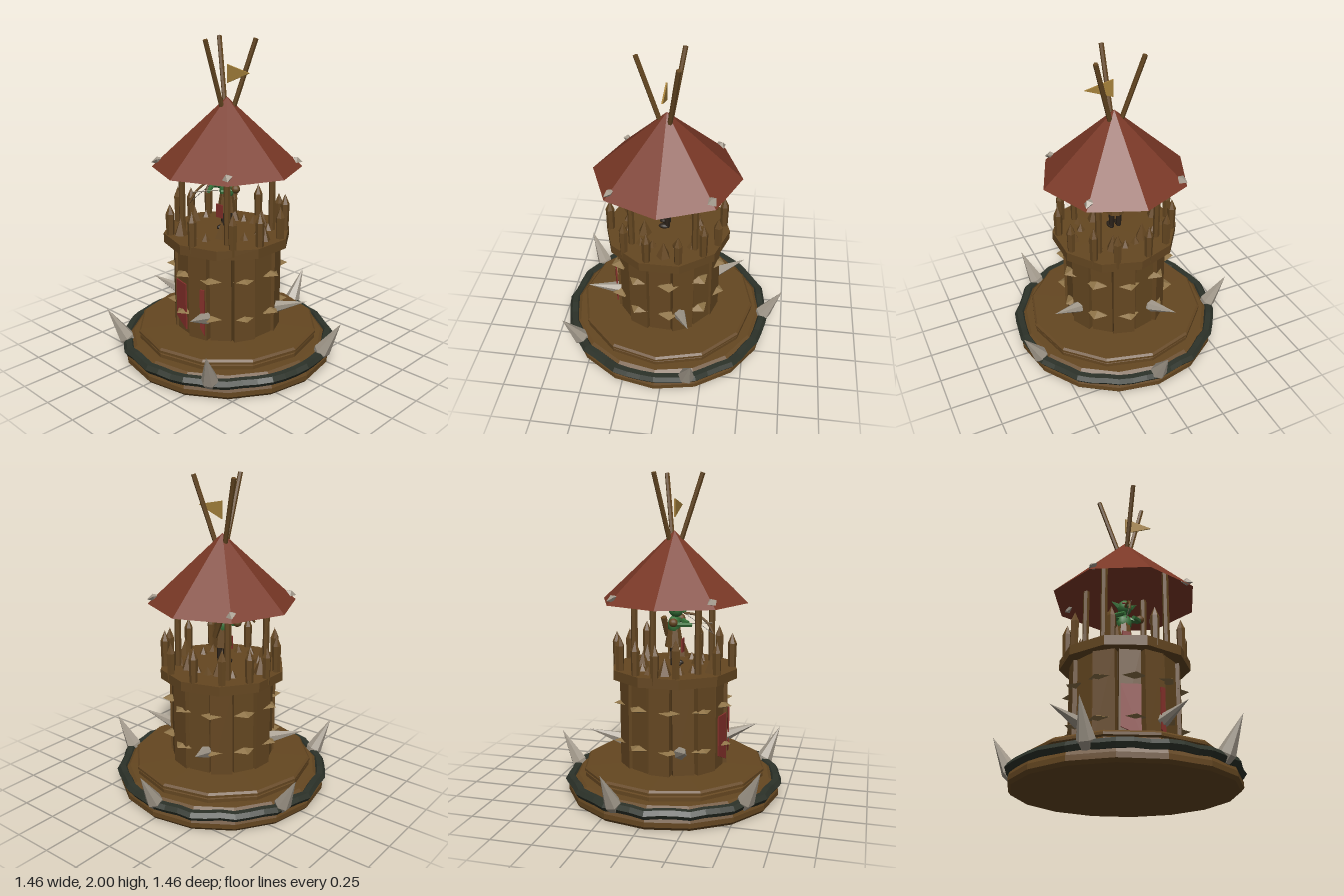
import * as THREE from 'three';

const mat = (name, color, side = THREE.FrontSide) => {
  const m = new THREE.MeshStandardMaterial({ color, side });
  m.name = name;
  return m;
};
const V = (x, y, z) => new THREE.Vector3(x, y, z);
const UP = V(0, 1, 0);
const rad = THREE.MathUtils.degToRad;
// point at azimuth a (degrees from the front), radius r, height y
const polar = (a, r, y) => V(Math.sin(rad(a)) * r, y, Math.cos(rad(a)) * r);

export function createModel() {
  const wood = mat('wood', 0x654721);
  const darkWood = mat('dark wood', 0x4a341a);
  const roofRed = mat('roof hide', 0x7a3826, THREE.DoubleSide);
  const cloth = mat('red cloth', 0x84302a);
  const metal = mat('spike metal', 0xa59c8e);
  const tan = mat('pale wood', 0x8f7448);
  const gold = mat('flag cloth', 0xa8833c, THREE.DoubleSide);
  const green = mat('green skin', 0x38743a);
  const dark = mat('dark moss', 0x2c3229);
  const leather = mat('dark leather', 0x2b2219);

  const root = new THREE.Group();
  root.name = 'watchtower';
  const tower = new THREE.Group();
  tower.name = 'tower';
  tower.position.z = 0.037;
  root.add(tower);

  let seed = 7;
  const rnd = () => (seed = (seed * 16807) % 2147483647) / 2147483647;

  const flat = (g) => {
    const f = g.index ? g.toNonIndexed() : g;
    f.computeVertexNormals();
    return f;
  };
  const add = (name, geo, material, pos = V(0, 0, 0), parent = tower, smooth = false) => {
    const m = new THREE.Mesh(smooth ? geo : flat(geo), material);
    m.name = name;
    m.position.copy(pos);
    parent.add(m);
    return m;
  };
  const lathe = (pts, n) => new THREE.LatheGeometry(pts.map((p) => new THREE.Vector2(...p)), n);
  // tapered rod between two points
  const rod = (name, a, b, r0, r1, material, n = 6) => {
    const d = b.clone().sub(a);
    const m = add(name, new THREE.CylinderGeometry(r1, r0, d.length(), n), material, a.clone().add(b).multiplyScalar(0.5));
    m.quaternion.setFromUnitVectors(UP, d.normalize());
    return m;
  };
  // faceted spike with a short blunt root
  const spike = (name, a, b, r) => {
    const d = b.clone().sub(a), L = d.length();
    const m = add(name, lathe([[0, -0.02], [r * 0.7, -0.01], [r, L * 0.14], [0, L]], 6), metal, a);
    m.quaternion.setFromUnitVectors(UP, d.normalize());
  };

  // stepped round base
  add('lowerBase', lathe([[0, 0], [0.655, 0], [0.672, 0.02], [0.672, 0.05], [0.655, 0.09], [0.61, 0.128], [0, 0.132]], 16), wood);
  add('upperBase', lathe([[0.55, 0.125], [0.572, 0.135], [0.572, 0.158], [0.56, 0.163], [0.578, 0.17], [0.578, 0.185], [0.565, 0.197], [0, 0.199]], 12), wood);

  // uneven mossy band around the base
  const band = new THREE.TorusGeometry(0.655, 0.036, 6, 48).rotateX(Math.PI / 2);
  const bp = band.attributes.position;
  for (let i = 0; i < bp.count; i++) {
    const x = bp.getX(i), z = bp.getZ(i), a = Math.atan2(x, z);
    const facet = Math.cos(Math.PI / 16) / Math.cos(((a + 20 * Math.PI) % (Math.PI / 8)) - Math.PI / 16);
    const k = facet * (1 + 0.006 * Math.sin(11 * a));
    bp.setXYZ(i, x * k, bp.getY(i) * 0.85 + 0.004 * Math.sin(17 * a), z * k);
  }
  add('mossBand', band, dark, V(0, 0.097, 0));

  // five spikes on the base, four on the wall
  for (let i = 0; i < 5; i++) spike('baseSpike', polar(36 + 72 * i, 0.64, 0.09), polar(36 + 72 * i, 0.77, 0.325), 0.052);
  for (let i = 0; i < 4; i++) spike('wallSpike', polar(21 + 90 * i, 0.3, 0.335), polar(21 + 90 * i, 0.54, 0.415), 0.04);

  // plank wall around a core
  add('wallCore', new THREE.CylinderGeometry(0.29, 0.29, 0.58, 14), darkWood, V(0, 0.475, 0));
  for (let i = 0; i < 14; i++) {
    const a = -14 + (i * 360) / 14;
    const g = new THREE.BoxGeometry(0.125 + 0.015 * rnd(), 0.57, 0.05);
    const p = add('wallPlank', g, wood, polar(a, 0.293 + (i % 2) * 0.016, 0.475));
    p.rotation.set(0, rad(a + (rnd() - 0.5) * 8), rad((rnd() - 0.5) * 1.5));
  }

  // red hangings at the front
  const hang = (name, a, w, r) => {
    const s = new THREE.Shape([[-w / 2, 0.535], [-w / 2, 0.285], [w / 2, 0.235], [w / 2, 0.535]].map((p) => new THREE.Vector2(...p)));
    const m = add(name, new THREE.ExtrudeGeometry(s, { depth: 0.009, bevelEnabled: false }), cloth, polar(a, r, 0));
    m.rotation.y = rad(a);
  };
  hang('doorCloth', -13, 0.115, 0.33);
  hang('sideCloth', 19, 0.03, 0.343);

  // two rings of flat pointed wooden barbs
  for (const y of [0.345, 0.59]) {
    for (let i = 0; i < 10; i++) {
      const a = -9 + 36 * i;
      const m = add('wallBarb', new THREE.OctahedronGeometry(1), tan, polar(a, 0.325, y));
      m.scale.set(0.07, 0.02, 0.06);
      m.rotation.y = rad(a);
    }
  }

  // lookout platform
  add('platform', new THREE.CylinderGeometry(0.4, 0.4, 0.06, 10), wood, V(0, 0.782, 0));
  [-74, -31, 10, 50, 77, 108, 135, 158, 190, 218, 245, 266].forEach((a, i) => {
    const h = 0.17 + 0.02 * (i % 3 === 0) - 0.015 * (i % 2);
    const m = add('stake', lathe([[0, -0.05], [0.023, -0.05], [0.028, h - 0.03], [0, h + 0.035]], 6), wood, polar(a, 0.362, 0.82));
    m.rotation.y = rad(a);
  });
  for (let i = 0; i < 18; i++) {
    const big = i % 3 === 0, h = big ? 0.11 : 0.05, r = big ? 0.045 : 0.03;
    const m = add('floorSpike', new THREE.ConeGeometry(r, h, 5), wood, polar(i * 20 + 33, 0.15 + 0.16 * rnd(), 0.81 + h / 2));
    m.rotation.y = rnd() * 3;
  }

  // roof posts, roof and rim studs
  for (let i = 0; i < 4; i++) {
    const a = 45 + 90 * i;
    rod('roofPost', polar(a, 0.28, 0.8), polar(a, 0.28, 1.36), 0.021, 0.021, wood);
    const stud = add('roofStud', new THREE.OctahedronGeometry(1), metal, polar(a, 0.425, 1.262));
    stud.scale.set(0.032, 0.024, 0.042);
    stud.rotation.set(0.3, rad(a), 0.4, 'YXZ');
  }
  add('roof', new THREE.ConeGeometry(0.463, 0.43, 8, 1, true), roofRed, V(0, 1.438, 0));

  // crossing roof poles and pennant
  for (const a of [0, 120, 240]) rod('roofPole', polar(a, 0.035, 1.57), polar(a, 0.175, 1.998), 0.015, 0.015, wood);
  const pennant = new THREE.Shape([[0.005, 1.735], [0.185, 1.808], [0.005, 1.845]].map((p) => new THREE.Vector2(...p)));
  add('pennant', new THREE.ExtrudeGeometry(pennant, { depth: 0.009, bevelEnabled: false }), gold, V(0, 0, -0.004));

  // little archer
  const ball = (name, p, s, m) => {
    const b = add(name, new THREE.SphereGeometry(1, 12, 8), m, p, tower, true);
    b.scale.set(...s);
    return b;
  };
  ball('head', V(-0.005, 1.17, 0.012), [0.045, 0.05, 0.048], green);
  ball('nose', V(-0.005, 1.16, 0.06), [0.01, 0.012, 0.018], green);
  ball('torso', V(-0.005, 1.07, 0), [0.05, 0.06, 0.04], green);
  add('tunic', new THREE.CylinderGeometry(0.038, 0.06, 0.13, 8), wood, V(-0.005, 1.0, 0));
  add('loincloth', new THREE.BoxGeometry(0.055, 0.085, 0.008), cloth, V(-0.01, 0.945, 0.058));
  for (const s of [-1, 1]) {
    const x = -0.005;
    rod('ear', V(x + s * 0.035, 1.175, 0.01), V(x + s * 0.085, 1.212, 0), 0.02, 0, green, 5);
    ball('eye', V(x + s * 0.018, 1.183, 0.052), [0.012, 0.007, 0.008], cloth);
    ball('shoulderPad', V(x + s * 0.098, 1.1, 0.02), [0.028, 0.027, 0.028], wood);
    rod('upperArm', V(x + s * 0.03, 1.095, 0), V(x + s * 0.1, 1.09, 0.02), 0.02, 0.017, green);
    rod('forearm', V(x + s * 0.1, 1.09, 0.02), V(x + s * 0.035, 1.08, s < 0 ? 0.12 : 0.08), 0.017, 0.013, green);
    rod('leg', V(x + s * 0.025, 0.82, 0), V(x + s * 0.025, 0.96, 0), 0.016, 0.02, leather);
    ball('foot', V(x + s * 0.027, 0.828, 0.02), [0.02, 0.016, 0.036], leather);
  }
  const bowPath = new THREE.CatmullRomCurve3([V(-0.02, 1.15, 0.07), V(-0.03, 1.142, 0.15), V(-0.045, 1.1, 0.22), V(-0.06, 1.035, 0.262)]);
  add('bow', new THREE.TubeGeometry(bowPath, 14, 0.008, 5), wood, V(0, 0, 0), tower, true);
  rod('bowString', V(-0.02, 1.15, 0.07), V(-0.06, 1.035, 0.262), 0.002, 0.002, leather, 4);
  rod('arrow', V(-0.01, 1.08, 0.06), V(-0.045, 1.1, 0.25), 0.003, 0.003, metal, 4);
  rod('quiver', V(0.02, 1.0, -0.05), V(-0.03, 1.12, -0.06), 0.017, 0.02, wood);

  return root;
}
